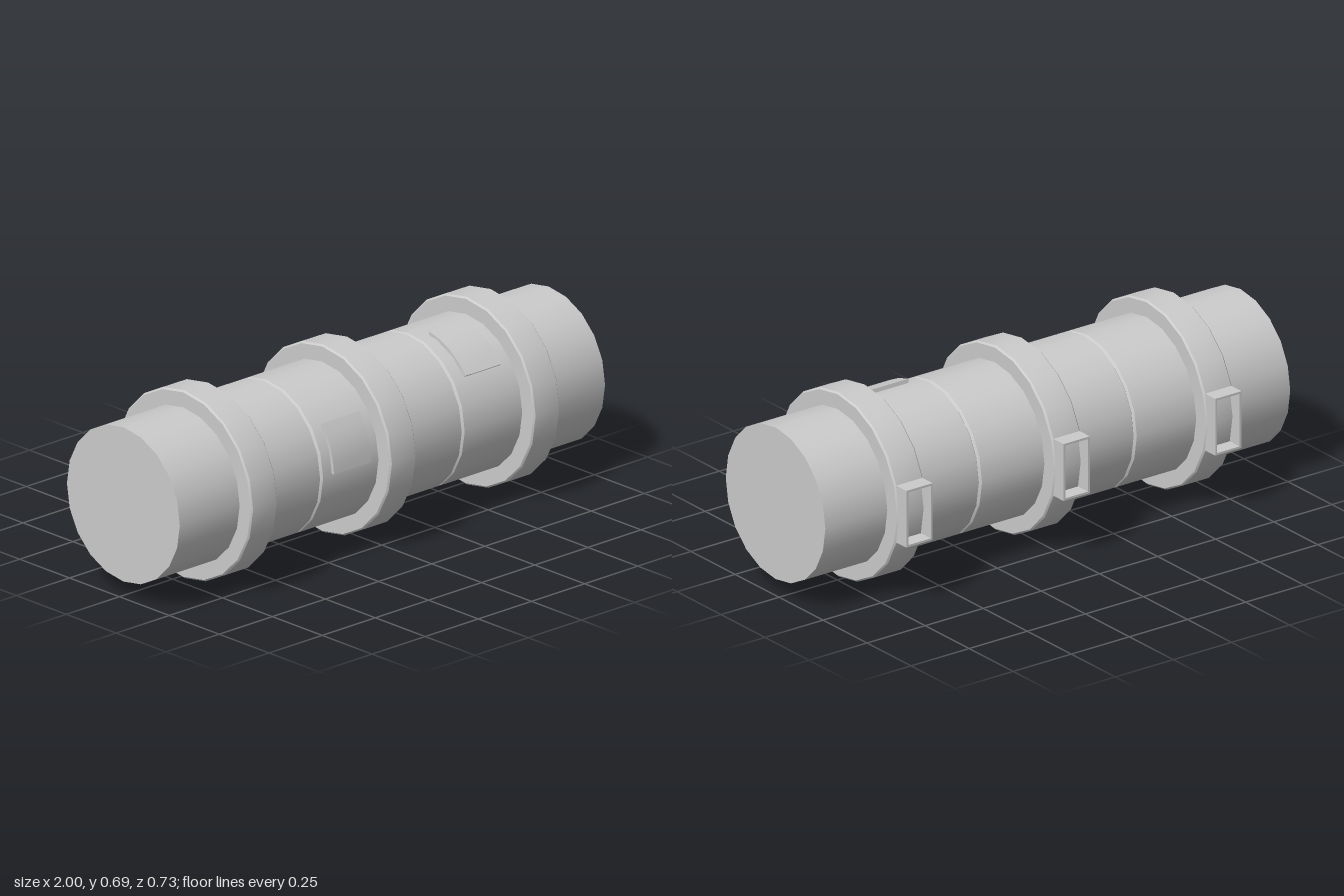
import * as THREE from 'three';
import { toCreasedNormals } from 'three/addons/utils/BufferGeometryUtils.js';

const SIDES = 20;
const CY = 0.345, CZ = 0.02; // axis of the tube
const material = new THREE.MeshStandardMaterial({ color: 0xcccccc });

function addMesh(parent, name, geometry) {
  const mesh = new THREE.Mesh(toCreasedNormals(geometry, 0.5), material);
  mesh.name = name;
  parent.add(mesh);
  return mesh;
}

// Turned solid along x from [x, radius] pairs
function turned(profile) {
  const points = profile.map(([x, r]) => new THREE.Vector2(r, x));
  return new THREE.LatheGeometry(points, SIDES).rotateZ(-Math.PI / 2);
}

// Curved plate hugging the tube between two angles (degrees up from the front)
function curvedPlate(startDeg, endDeg, inner, outer, width) {
  const steps = 4;
  const points = [];
  const push = (r, t) => {
    const a = THREE.MathUtils.degToRad(startDeg + (endDeg - startDeg) * t);
    points.push(new THREE.Vector2(-r * Math.cos(a), r * Math.sin(a)));
  };
  for (let i = 0; i <= steps; i++) push(outer, i / steps);
  for (let i = steps; i >= 0; i--) push(inner, i / steps);
  return new THREE.ExtrudeGeometry(new THREE.Shape(points), { depth: width, bevelEnabled: false })
    .translate(0, 0, -width / 2)
    .rotateY(Math.PI / 2);
}

// Open rectangular socket, hollow along z
function socketFrame(width, height, depth, wall) {
  const rect = (w, h) => [[-w, -h], [w, -h], [w, h], [-w, h]]
    .map(([x, y]) => new THREE.Vector2(x / 2, y / 2));
  const shape = new THREE.Shape(rect(width, height));
  shape.holes.push(new THREE.Path(rect(width - 2 * wall, height - 2 * wall)));
  return new THREE.ExtrudeGeometry(shape, { depth, bevelEnabled: false });
}

export function createModel() {
  const model = new THREE.Group();
  model.name = 'bandedTube';

  // Main tube with two fine seam grooves
  const R = 0.283, seam = 0.333, g = 0.007;
  const profile = [[-1, 0], [-1, R]];
  for (const x of [-seam, seam]) profile.push([x - g, R], [x, R - 0.009], [x + g, R]);
  profile.push([1, R], [1, 0]);
  addMesh(model, 'tube', turned(profile)).position.set(0, CY, CZ);

  // Three bands, each with a hollow socket at the back
  const half = 0.0615, outer = 0.344, bevel = 0.006;
  for (const x of [-0.657, -0.004, 0.672]) {
    const clamp = new THREE.Group();
    clamp.name = 'clamp';
    clamp.position.set(x, CY, CZ);
    addMesh(clamp, 'band', turned([
      [-half, R - 0.01], [-half, outer - bevel], [-half + bevel, outer],
      [half - bevel, outer], [half, outer - bevel], [half, R - 0.01],
    ]));
    addMesh(clamp, 'socket', socketFrame(0.113, 0.212, 0.075, 0.008)).position.set(0, 0.001, -0.385);
    model.add(clamp);
  }

  // Thin raised plates on the front
  addMesh(model, 'frontPlate', curvedPlate(1, 37, 0.272, 0.293, 0.175)).position.set(-0.197, CY, CZ);
  addMesh(model, 'upperPlate', curvedPlate(37, 80, 0.272, 0.294, 0.167)).position.set(0.474, CY, CZ);

  return model;
}
